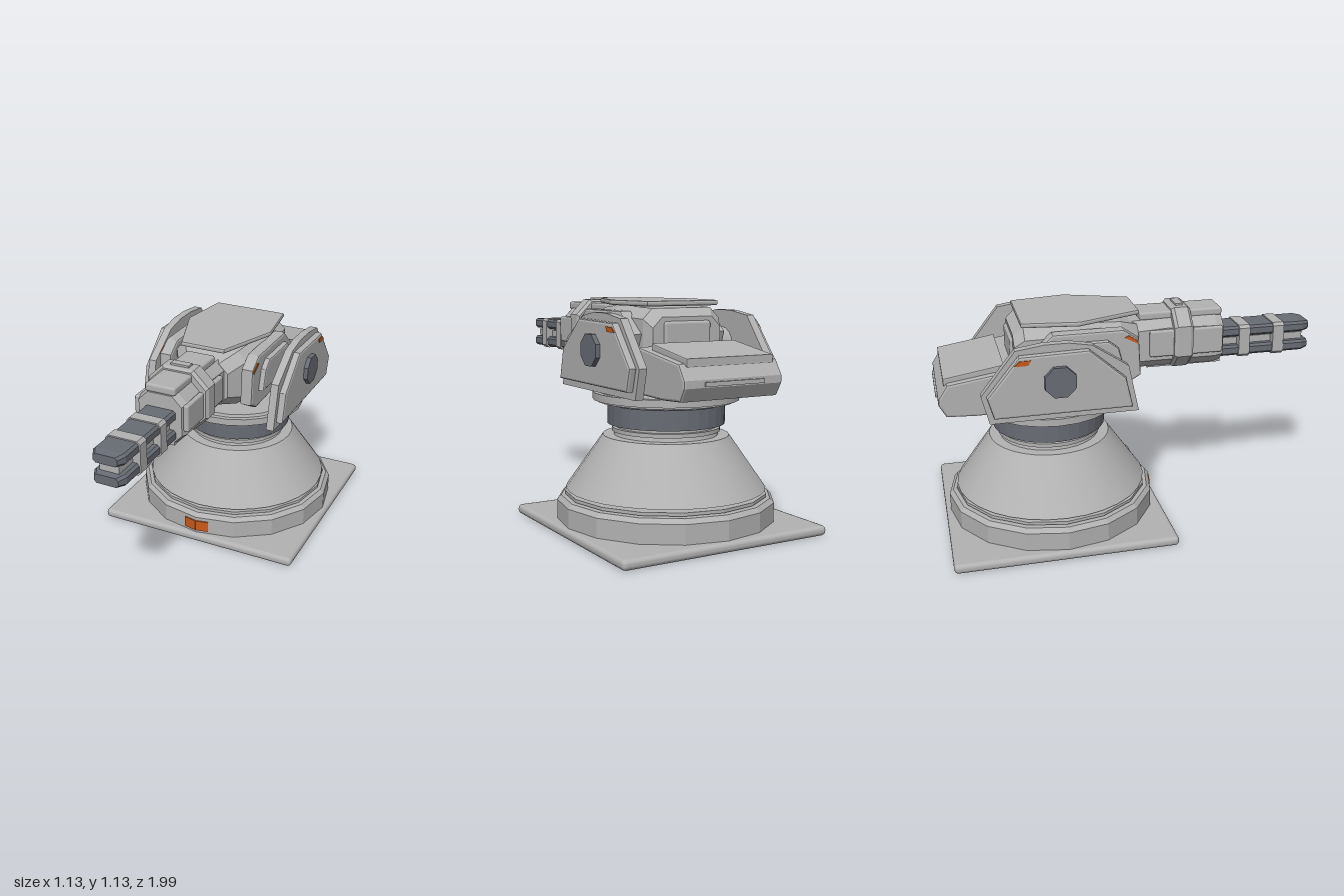
import * as THREE from 'three';
import { RoundedBoxGeometry } from 'three/addons/geometries/RoundedBoxGeometry.js';
import { toCreasedNormals } from 'three/addons/utils/BufferGeometryUtils.js';

export function createModel() {
  const root = new THREE.Group();
  root.name = 'turret';
  const mat = (name, color) => {
    const m = new THREE.MeshStandardMaterial({ color });
    m.name = name;
    return m;
  };
  const grey = mat('light grey', 0xb2b2b2);
  const dark = mat('dark grey', 0x686c74);
  const orange = mat('orange', 0xc85a1a);
  const ZC = -0.415; // turning axis

  const add = (name, geo, material, x = 0, y = 0, z = 0) => {
    const m = new THREE.Mesh(geo, material);
    m.name = name;
    m.position.set(x, y, z);
    root.add(m);
    return m;
  };
  const box = (name, material, x0, x1, y0, y1, z0, z1) =>
    add(name, new THREE.BoxGeometry(x1 - x0, y1 - y0, z1 - z0), material,
      (x0 + x1) / 2, (y0 + y1) / 2, (z0 + z1) / 2);
  const softBox = (name, material, x0, x1, y0, y1, z0, z1, r) =>
    add(name, new RoundedBoxGeometry(x1 - x0, y1 - y0, z1 - z0, 2, r), material,
      (x0 + x1) / 2, (y0 + y1) / 2, (z0 + z1) / 2);
  const extrude = (pts, depth, bevel) => new THREE.ExtrudeGeometry(
    new THREE.Shape(pts.map(p => new THREE.Vector2(p[0], p[1]))), {
      depth: depth - 2 * bevel, bevelEnabled: bevel > 0, bevelSize: bevel,
      bevelThickness: bevel, bevelOffset: -bevel, bevelSegments: 2,
    }).translate(0, 0, bevel);
  // side slab from a (z, y) outline, spanning x0..x1
  const slab = (name, material, pts, x0, x1, bevel = 0) => add(name,
    extrude(pts.map(([z, y]) => [-z, y]), x1 - x0, bevel).rotateY(Math.PI / 2), material, x0);
  const pair = (name, material, pts, x0, x1, bevel) => {
    slab(name + 'Left', material, pts, x0, x1, bevel);
    slab(name + 'Right', material, pts, -x1, -x0, bevel);
  };
  const turned = (name, material, profile, sides) => add(name,
    toCreasedNormals(new THREE.LatheGeometry(
      profile.map(p => new THREE.Vector2(p[0], p[1])), sides), sides > 20 ? 0.5 : 0.2),
    material, 0, 0, ZC);
  // loft of chamfered rectangles [z, halfWidth, yBottom, yTop, chamfer], back to front
  const loft = (name, material, sections) => {
    const rings = sections.map(([z, w, b, t, c]) => [
      [w, b + c], [w, t - c], [w - c, t], [c - w, t],
      [-w, t - c], [-w, b + c], [c - w, b], [w - c, b]].map(p => [p[0], p[1], z]));
    const v = [];
    for (let k = 0; k + 1 < rings.length; k++) for (let i = 0; i < 8; i++) {
      const j = (i + 1) % 8, a = rings[k], b = rings[k + 1];
      v.push(a[i], a[j], b[j], a[i], b[j], b[i]);
    }
    const first = rings[0], last = rings[rings.length - 1];
    for (let i = 1; i < 7; i++) {
      v.push(first[0], first[i + 1], first[i], last[0], last[i], last[i + 1]);
    }
    const g = new THREE.BufferGeometry();
    g.setAttribute('position', new THREE.Float32BufferAttribute(v.flat(), 3));
    g.computeVertexNormals();
    return add(name, g, material);
  };

  // pedestal
  softBox('basePlate', grey, -0.567, 0.567, 0.005, 0.055, -0.985, 0.152, 0.022);
  turned('baseRing', grey, [[0, 0.04], [0.545, 0.04], [0.545, 0.15], [0.525, 0.172],
    [0.44, 0.172], [0.44, 0.177], [0.505, 0.177], [0.505, 0.193], [0.43, 0.193], [0.42, 0.215]], 16);
  turned('cone', grey, [[0.3, 0.207], [0.5, 0.207], [0.315, 0.472], [0.26, 0.472], [0.255, 0.492],
    [0.27, 0.492], [0.27, 0.512], [0.25, 0.512], [0.25, 0.535]], 32);
  turned('darkRing', dark, [[0, 0.53], [0.293, 0.53], [0.293, 0.628], [0.25, 0.628], [0.25, 0.645]], 32);
  turned('turntable', grey, [[0, 0.64], [0.343, 0.64], [0.343, 0.65], [0.365, 0.65],
    [0.365, 0.687], [0.34, 0.687], [0.335, 0.702], [0, 0.702]], 24);
  for (const s of [-1, 1]) {
    const half = box('baseMarker', orange, -0.035, 0.035, 0.07, 0.13, -0.004, 0.004);
    half.position.set(s * 0.035, 0.1, 0.126);
    half.rotation.y = s * Math.PI / 16;
  }

  // yoke arms with raised panels and pivot caps
  pair('yokeArm', grey, [[-0.02, 0.7], [-0.07, 0.94], [-0.25, 1.06], [-0.36, 1.08], [-0.48, 1.08],
    [-0.62, 1.06], [-0.79, 0.845], [-0.755, 0.7]], 0.335, 0.376);
  pair('yokePanel', grey, [[-0.055, 0.735], [-0.09, 0.89], [-0.27, 1.048], [-0.605, 1.04],
    [-0.765, 0.845], [-0.735, 0.735]], 0.37, 0.412, 0.012);
  pair('yokeMarker', orange, [[-0.55, 1.022], [-0.605, 1.022], [-0.63, 0.998], [-0.565, 0.998]], 0.408, 0.416);
  for (const s of [-1, 1]) {
    add('pivotCap', new THREE.CylinderGeometry(0.082, 0.082, 0.06, 8).toNonIndexed()
      .rotateY(Math.PI / 8).rotateZ(Math.PI / 2), dark, s * 0.405, 0.905, ZC)
      .material.flatShading = true;
  }
  add('pivotAxle', new THREE.CylinderGeometry(0.09, 0.09, 0.7, 16).rotateZ(Math.PI / 2),
    grey, 0, 0.905, ZC);

  // turret body, roof and cheeks
  loft('body', grey, [[-0.6, 0.19, 0.81, 1.06, 0.05], [-0.55, 0.215, 0.795, 1.1, 0.05],
    [-0.28, 0.237, 0.79, 1.11, 0.05], [-0.06, 0.2, 0.795, 1.09, 0.05], [0.04, 0.14, 0.82, 1.05, 0.05]]);
  softBox('rearHatch', grey, -0.13, 0.13, 0.84, 1.04, -0.615, -0.58, 0.015);
  add('roofPlate', extrude([[-0.2, 0.565], [-0.24, 0.28], [-0.12, -0.045], [0.12, -0.045],
    [0.24, 0.28], [0.2, 0.565]], 0.026, 0.009).rotateX(-Math.PI / 2), grey, 0, 1.109, 0);
  pair('cheek', grey, [[0.02, 0.84], [0.01, 1.03], [-0.07, 1.085], [-0.42, 1.085],
    [-0.54, 0.98], [-0.48, 0.81], [-0.05, 0.8]], 0.2, 0.266, 0.012);
  pair('cheekPanel', grey, [[-0.07, 0.89], [-0.1, 1.0], [-0.15, 1.04], [-0.4, 1.04],
    [-0.46, 0.97], [-0.43, 0.885]], 0.255, 0.294, 0.01);
  pair('cheekMarker', orange, [[0.0, 1.01], [0.0, 1.025], [-0.045, 1.055], [-0.065, 1.045]], 0.262, 0.27);

  // counterweight
  slab('counterweight', grey, [[-0.58, 0.705], [-0.6, 0.925], [-0.94, 0.875], [-0.985, 0.805],
    [-0.985, 0.77], [-0.95, 0.708], [-0.8, 0.7]], -0.268, 0.268, 0.012);
  slab('counterweightLid', grey, [[-0.67, 0.9], [-0.66, 0.945], [-0.955, 0.898], [-0.955, 0.86]],
    -0.235, 0.235, 0.006);
  box('rearVent', grey, -0.16, 0.16, 0.775, 0.795, -0.994, -0.98);

  // gun housing
  loft('gunHousing', grey, [[0.0, 0.12, 0.81, 1.06, 0.045], [0.2, 0.12, 0.81, 1.07, 0.045],
    [0.46, 0.125, 0.805, 1.07, 0.05], [0.5, 0.115, 0.81, 1.06, 0.05]]);
  softBox('topRail', grey, -0.08, 0.08, 1.06, 1.102, 0.06, 0.5, 0.012);
  for (const s of [-1, 1]) {
    softBox('sideRail', grey, s * 0.13 - 0.014, s * 0.13 + 0.014, 0.88, 1.02, 0.1, 0.49, 0.01);
  }
  loft('collar', grey, [[0.225, 0.155, 0.805, 1.11, 0.08], [0.24, 0.165, 0.8, 1.12, 0.08],
    [0.31, 0.165, 0.8, 1.12, 0.08], [0.325, 0.155, 0.805, 1.11, 0.08]]);
  box('collarClasp', grey, -0.05, 0.05, 0.79, 1.13, 0.255, 0.295);
  box('lowerRail', grey, -0.075, 0.075, 0.802, 0.82, 0.1, 0.5);

  // twin barrels, core and clips
  for (const y of [0.828, 0.932]) {
    loft('barrel', dark, [[0.48, 0.083, y, y + 0.056, 0.012], [0.96, 0.083, y, y + 0.056, 0.012],
      [1.0, 0.062, y + 0.004, y + 0.05, 0.012]]);
  }
  box('barrelCore', grey, -0.05, 0.05, 0.885, 0.922, 0.48, 0.97);
  for (const z of [0.63, 0.82]) {
    loft('barrelClip', grey, [[z - 0.03, 0.09, 0.82, 0.994, 0.015], [z + 0.03, 0.09, 0.82, 0.994, 0.015]]);
  }
  return root;
}
